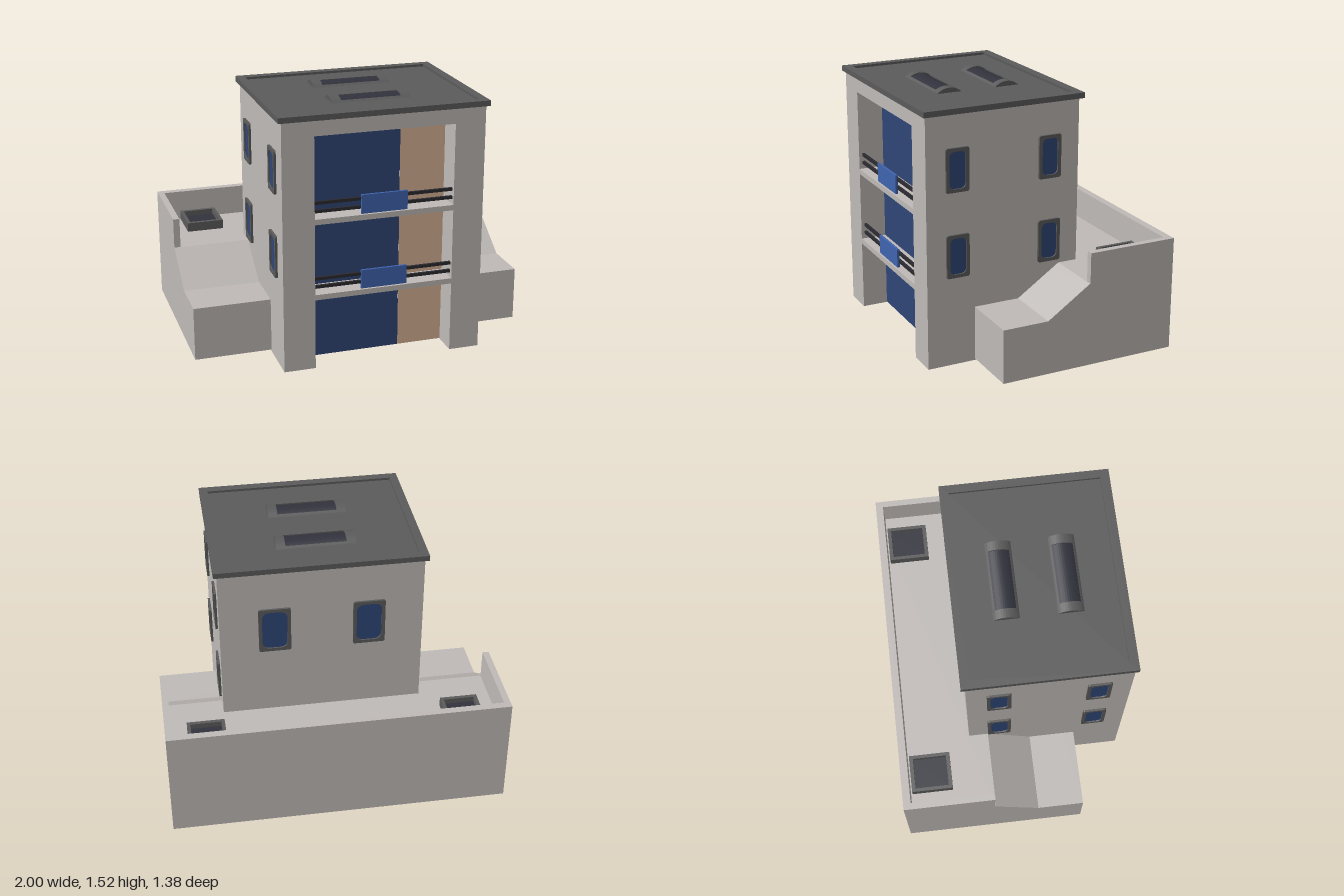
import * as THREE from 'three';

const mat = (name, color, side = THREE.FrontSide) => {
  const m = new THREE.MeshStandardMaterial({ color, side });
  m.name = name;
  return m;
};

export function createModel() {
  const house = new THREE.Group();
  house.name = 'house';
  const wall = mat('wallGrey', 0xbfbab7, THREE.DoubleSide);
  const dark = mat('roofGrey', 0x5b5b5b);
  const blue = mat('glassBlue', 0x2f4677, THREE.DoubleSide);
  const bright = mat('balconyBlue', 0x4064b0);
  const tan = mat('doorTan', 0xdab397);
  const black = mat('railBlack', 0x2a2a30);
  const smoke = mat('skylightGlass', 0x32323d);

  const add = (name, geometry, material, parent = house) => {
    const mesh = new THREE.Mesh(geometry, material);
    mesh.name = name;
    parent.add(mesh);
    return mesh;
  };
  // Box given by its limits on each axis
  const box = (name, material, [x0, x1], [y0, y1], [z0, z1], parent) => {
    const g = new THREE.BoxGeometry(x1 - x0, y1 - y0, z1 - z0);
    g.translate((x0 + x1) / 2, (y0 + y1) / 2, (z0 + z1) / 2);
    return add(name, g, material, parent);
  };
  // Open sheet swept along a path between two edges
  const ribbon = (path, edgeA, edgeB) => {
    const pos = [];
    for (let i = 0; i < path.length - 1; i++) {
      const [p, q] = [path[i], path[i + 1]];
      const [a0, b0, b1, a1] = [edgeA(p), edgeB(p), edgeB(q), edgeA(q)];
      pos.push(...a0, ...b0, ...b1, ...a0, ...b1, ...a1);
    }
    const g = new THREE.BufferGeometry();
    g.setAttribute('position', new THREE.Float32BufferAttribute(pos, 3));
    g.computeVertexNormals();
    return g;
  };
  const polygon = (pts) => new THREE.Shape(pts.map(([x, y]) => new THREE.Vector2(x, y)));
  // Centred rectangle with rounded corners
  const roundRect = (w, h, r) => {
    const s = new THREE.Shape();
    const [x, y] = [w / 2 - r, h / 2 - r];
    s.absarc(x, y, r, 0, Math.PI / 2);
    s.absarc(-x, y, r, Math.PI / 2, Math.PI);
    s.absarc(-x, -y, r, Math.PI, Math.PI * 1.5);
    s.absarc(x, -y, r, Math.PI * 1.5, Math.PI * 2);
    s.closePath();
    return s;
  };

  // Tower walls, with the tall recess in the front
  const outline = [[-0.36, 0.52], [-0.36, 0.675], [-0.545, 0.675], [-0.545, -0.265],
    [0.64, -0.265], [0.64, 0.675], [0.46, 0.675], [0.46, 0.52]];
  add('towerWalls', ribbon(outline, ([x, z]) => [x, 0, z], ([x, z]) => [x, 1.47, z]), wall);
  box('lintel', wall, [-0.36, 0.46], [1.38, 1.47], [0.52, 0.675]);

  // Facade panels at the back of the recess
  box('facadeGlass', blue, [-0.36, 0.19], [0.003, 1.38], [0.512, 0.52]);
  box('facadePanel', tan, [0.19, 0.46], [0.003, 1.38], [0.512, 0.52]);
  for (const y of [0.3, 0.6, 1.05]) {
    box('doorHandle', wall, [0.186, 0.19], [y, y + 0.035], [0.52, 0.528]);
  }

  // Balconies
  for (const y of [0.42, 0.87]) {
    const balcony = new THREE.Group();
    balcony.name = 'balcony';
    house.add(balcony);
    box('balconySlab', wall, [-0.36, 0.46], [y, y + 0.032], [0.52, 0.675], balcony);
    for (const rise of [0.062, 0.111]) {
      box('railBar', black, [-0.36, 0.46], [y + rise, y + rise + 0.018], [0.64, 0.655], balcony);
    }
    box('balconyPanel', bright, [-0.085, 0.187], [y + 0.034, y + 0.145], [0.65, 0.665], balcony);
  }

  // Wide base: one stepped sheet, two side walls and an open underside
  const profile = [[0.385, 0.01], [0.385, 0.33], [0.11, 0.33], [-0.15, 0.505],
    [-0.695, 0.505], [-0.695, 0.01]];
  add('baseShell', ribbon(profile, ([z, y]) => [-1, y, z], ([z, y]) => [1, y, z]), wall);
  for (const s of [-1, 1]) {
    const side = new THREE.ShapeGeometry(polygon(profile.map(([z, y]) => [-s * z, y])));
    side.rotateY(s * Math.PI / 2).translate(s, 0, 0);
    add('baseSide', side, wall);
    const xs = (a, b) => (s > 0 ? [a, b] : [-b, -a]);
    box('sideParapet', wall, xs(0.962, 1), [0.505, 0.685], [-0.65, -0.153]);

    // Terrace skylight
    const light = new THREE.Group();
    light.name = 'terraceSkylight';
    light.position.set(s * 0.757, 0.5, -0.518);
    house.add(light);
    const rim = roundRect(0.222, 0.245, 0.001);
    rim.holes.push(roundRect(0.182, 0.2, 0.001));
    const rimGeo = new THREE.ExtrudeGeometry(rim, { depth: 0.06, bevelEnabled: false, curveSegments: 1 });
    add('skylightFrame', rimGeo.rotateX(-Math.PI / 2), dark, light);
    box('skylightPane', smoke, [-0.092, 0.092], [0.02, 0.028], [-0.101, 0.101], light);
  }
  box('backParapet', wall, [-1, 1], [0.505, 0.685], [-0.695, -0.65]);

  // Roof slab with a raised rim
  const rim = polygon([[-0.565, -0.69], [0.66, -0.69], [0.66, 0.29], [-0.565, 0.29]]);
  rim.holes.push(polygon([[-0.515, -0.637], [0.61, -0.637], [0.61, 0.237], [-0.515, 0.237]]));
  const rimGeo = new THREE.ExtrudeGeometry(rim, { depth: 0.032, bevelEnabled: false });
  add('roofRim', rimGeo.rotateX(-Math.PI / 2).translate(0, 1.47, 0), dark);
  box('roofDeck', dark, [-0.515, 0.61], [1.47, 1.488], [-0.237, 0.637]);

  // Arched roof skylights
  const arch = (z0, z1, x0, x1, drop = 0) => {
    const R = 0.109;
    const pts = [[-z1, 0], [-z0, 0]];
    for (let i = 0; i <= 10; i++) {
      const z = z0 + (z1 - z0) * i / 10;
      pts.push([-z, 0.037 - R + Math.sqrt(R * R - z * z) - drop]);
    }
    const g = new THREE.ExtrudeGeometry(polygon(pts), { depth: x1 - x0, bevelEnabled: false });
    return g.rotateY(Math.PI / 2).translate(x0, 0, 0);
  };
  for (const z of [0.005, 0.365]) {
    const light = new THREE.Group();
    light.name = 'roofSkylight';
    light.position.set(0, 1.48, z);
    house.add(light);
    add('skylightEnd', arch(-0.075, 0.075, -0.185, -0.13), dark, light);
    add('skylightEnd', arch(-0.075, 0.075, 0.225, 0.28), dark, light);
    add('skylightEdge', arch(-0.075, -0.06, -0.13, 0.225), dark, light);
    add('skylightEdge', arch(0.06, 0.075, -0.13, 0.225), dark, light);
    add('skylightPane', arch(-0.06, 0.06, -0.13, 0.225, 0.008), smoke, light);
  }

  // Framed windows with rounded panes
  const addWindow = (x, y, z, turn, w, h) => {
    const win = new THREE.Group();
    win.name = 'window';
    win.position.set(x, y, z);
    win.rotation.y = turn;
    house.add(win);
    const pane = () => roundRect(w - 0.04, h - 0.04, w * 0.22);
    const frame = roundRect(w, h, 0.012);
    frame.holes.push(pane());
    add('windowFrame', new THREE.ExtrudeGeometry(frame, { depth: 0.013, bevelEnabled: false, curveSegments: 5 }), dark, win);
    add('windowPane', new THREE.ShapeGeometry(pane(), 5).translate(0, 0, 0.005), blue, win);
  };
  for (const y of [0.657, 1.155]) {
    for (const z of [0.49, -0.08]) {
      addWindow(0.64, y, z, Math.PI / 2, 0.138, 0.252);
      addWindow(-0.545, y, z, -Math.PI / 2, 0.138, 0.252);
    }
  }
  for (const x of [0.322, -0.228]) addWindow(x, 1.077, -0.265, Math.PI, 0.187, 0.287);

  return house;
}
